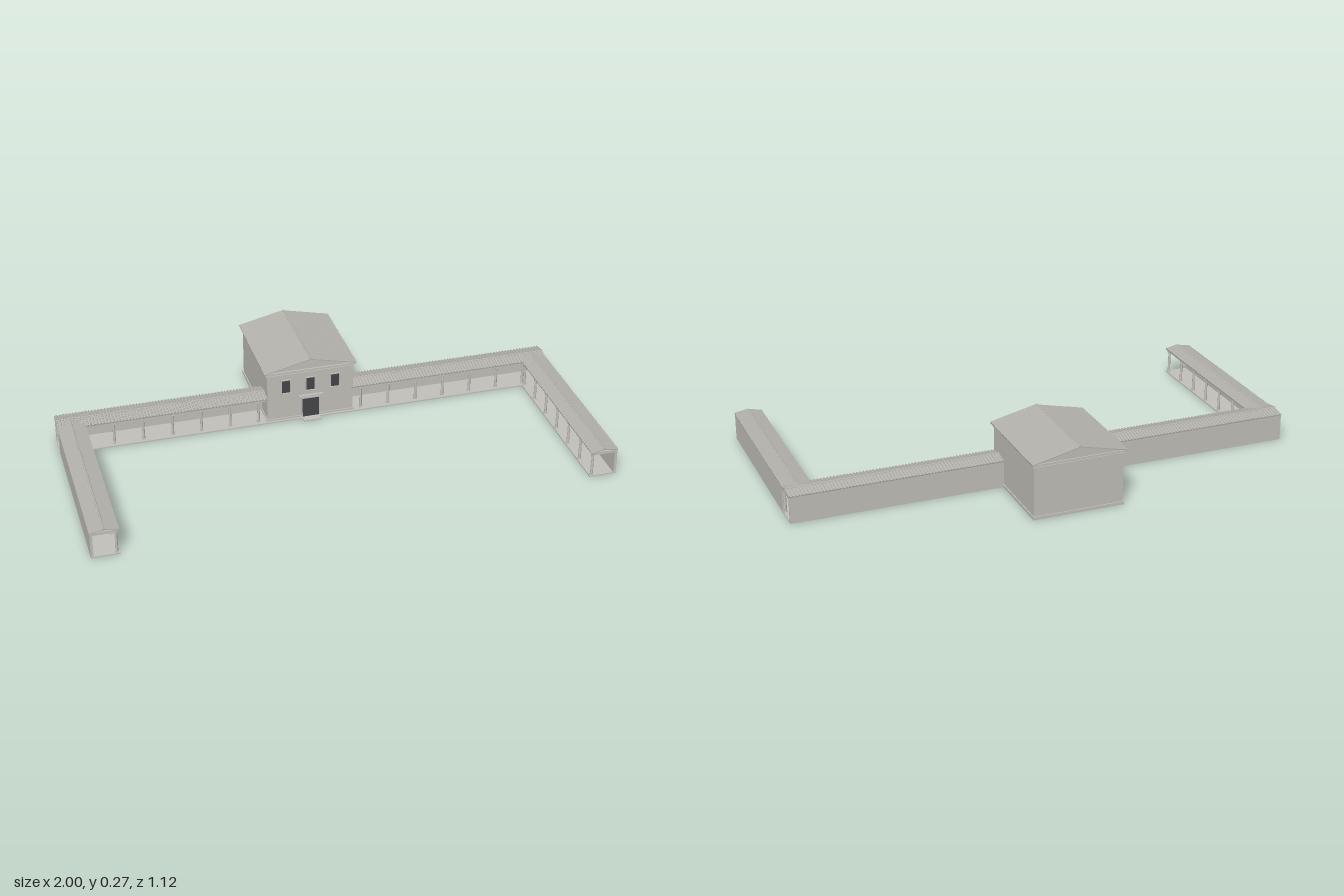
import * as THREE from 'three';
import { mergeGeometries } from 'three/addons/utils/BufferGeometryUtils.js';

const mat = (name, color) => {
  const m = new THREE.MeshStandardMaterial({ color });
  m.name = name;
  return m;
};

export function createModel() {
  const stone = mat('stone', 0xc4c2bb);
  const tile = mat('roofTile', 0xb6b5ae);
  const dark = mat('darkOpening', 0x46464b);
  const model = new THREE.Group();
  model.name = 'villa';

  const add = (parent, name, geo, material = stone) => {
    const m = new THREE.Mesh(geo, material);
    m.name = name;
    parent.add(m);
    return m;
  };
  // box given by its limits
  const block = (x0, x1, y0, y1, z0, z1) =>
    new THREE.BoxGeometry(Math.abs(x1 - x0), y1 - y0, z1 - z0)
      .translate((x0 + x1) / 2, (y0 + y1) / 2, (z0 + z1) / 2);

  // tiled gable roof, ridge along local x, centred on the ridge
  function gableRoof(name, length, half, eave, ridge, pitch) {
    const g = new THREE.Group();
    g.name = name;
    const slope = Math.hypot(half, ridge - eave);
    const angle = Math.atan2(ridge - eave, half);
    const count = Math.round(length / pitch);
    const step = length / count;
    // cross-section of one slope: flat slab with raised tile ribs
    const s = new THREE.Shape();
    s.moveTo(-length / 2, -0.004);
    s.lineTo(length / 2, -0.004);
    for (let i = count; i > 0; i--) {
      const x = -length / 2 + i * step;
      s.lineTo(x, 0);
      s.lineTo(x - step * 0.55, 0);
      s.lineTo(x - step * 0.65, 0.0035);
      s.lineTo(x - step * 0.9, 0.0035);
      s.lineTo(x - step, 0);
    }
    const sheet = new THREE.ExtrudeGeometry(s, { depth: slope, bevelEnabled: false }).rotateX(angle);
    add(g, 'frontSlope', sheet.clone().translate(0, ridge, 0), tile);
    add(g, 'backSlope', sheet.rotateY(Math.PI).translate(0, ridge, 0), tile);
    add(g, 'ridgeCap', new THREE.CylinderGeometry(0.004, 0.004, length, 8)
      .rotateZ(Math.PI / 2).translate(0, ridge, 0), tile);
    // solid gable filling below the tiles
    const inset = half * 0.95;
    const tri = new THREE.Shape();
    tri.moveTo(-inset, eave - 0.003);
    tri.lineTo(inset, eave - 0.003);
    tri.lineTo(0, ridge - 0.003);
    add(g, 'gable', new THREE.ExtrudeGeometry(tri, { depth: length - 0.012, bevelEnabled: false })
      .translate(0, 0, -(length - 0.012) / 2).rotateY(Math.PI / 2));
    return g;
  }

  // round column with square base and capital
  const column = (x, z) => mergeGeometries([
    new THREE.CylinderGeometry(0.0045, 0.0055, 0.088, 10).translate(x, 0.049, z),
    new THREE.BoxGeometry(0.013, 0.004, 0.013).translate(x, 0.007, z),
    new THREE.BoxGeometry(0.013, 0.004, 0.013).translate(x, 0.093, z),
  ]);

  // covered walk along local x: wall at -z, columns at +z
  function colonnade(name, x0, x1, c0, c1, columns, lip) {
    const g = new THREE.Group();
    g.name = name;
    add(g, 'floor', block(x0, x1, 0, 0.005, -0.0525, lip));
    add(g, 'wall', block(x0, x1, 0.004, 0.106, -0.0525, -0.0425));
    add(g, 'frontBeam', block(x0, x1, 0.095, 0.105, 0.037, 0.047));
    add(g, 'ceiling', block(x0, x1, 0.103, 0.106, -0.05, 0.047));
    const list = [];
    for (let i = 0; i < columns; i++) {
      list.push(column(c0 + (c1 - c0) * i / (columns - 1), 0.042));
    }
    add(g, 'columns', mergeGeometries(list));
    return g;
  }

  for (const s of [1, -1]) {
    const side = s > 0 ? 'left' : 'right';
    // cross wing beside the house
    const wing = colonnade(side + 'Wing', s * 0.17, s * 0.998, s * 0.21, s * 0.9, 7, 0.062);
    wing.position.z = -0.2;
    add(wing, 'endBeam', block(s * 0.988, s * 0.998, 0.095, 0.105, -0.05, 0.047));
    add(wing, 'endPosts', mergeGeometries([column(s * 0.99, 0.042), column(s * 0.99, -0.038)]));
    const wingRoof = gableRoof('wingRoof', 0.83, 0.0535, 0.107, 0.117, 0.0125);
    wingRoof.position.x = s * 0.585;
    wing.add(wingRoof);
    model.add(wing);

    // forward arm, open at its front end
    const arm = colonnade(side + 'Arm', -0.355, 0.355, -0.345, 0.345, 7, 0.0525);
    arm.position.set(s * 0.9465, 0, 0.204);
    arm.rotation.y = -s * Math.PI / 2;
    add(arm, 'endBeam', block(s * 0.345, s * 0.355, 0.095, 0.105, -0.05, 0.047));
    const armRoof = gableRoof('armRoof', 0.76, 0.0535, 0.107, 0.117, 0.0125);
    armRoof.position.x = -s * 0.024;
    arm.add(armRoof);
    model.add(arm);
  }

  // main house
  const house = new THREE.Group();
  house.name = 'house';
  model.add(house);
  add(house, 'walls', block(-0.175, 0.175, 0, 0.215, -0.548, -0.15));
  add(house, 'plinth', block(-0.179, 0.179, 0, 0.012, -0.552, -0.146));
  add(house, 'lowerCornice', block(-0.178, 0.178, 0.203, 0.208, -0.551, -0.147));
  add(house, 'upperCornice', block(-0.183, 0.183, 0.214, 0.221, -0.557, -0.143));
  const roof = gableRoof('houseRoof', 0.415, 0.187, 0.222, 0.265, 0.0148);
  roof.rotation.y = Math.PI / 2;
  roof.position.z = -0.351;
  house.add(roof);

  // raised surround around an opening on the front wall
  const frame = (x, y0, y1, half, t) => mergeGeometries([
    block(x - half - t, x - half, y0, y1, -0.151, -0.145),
    block(x + half, x + half + t, y0, y1, -0.151, -0.145),
    block(x - half - t, x + half + t, y1, y1 + t, -0.151, -0.145),
  ]);
  for (const x of [-0.1, 0, 0.1]) {
    add(house, 'window', block(x - 0.017, x + 0.017, 0.125, 0.18, -0.151, -0.148), dark);
    add(house, 'windowFrame', frame(x, 0.125, 0.18, 0.017, 0.003));
    add(house, 'windowSill', block(x - 0.022, x + 0.022, 0.121, 0.125, -0.151, -0.143));
  }
  add(house, 'door', block(-0.033, 0.033, 0.006, 0.087, -0.151, -0.1445), dark);
  add(house, 'doorFrame', frame(0, 0.006, 0.087, 0.033, 0.005));
  add(house, 'doorLintel', block(-0.05, 0.05, 0.098, 0.104, -0.151, -0.139));
  add(house, 'landing', block(-0.18, 0.18, 0, 0.005, -0.15, -0.138));
  add(house, 'doorStep', block(-0.035, 0.035, 0, 0.006, -0.15, -0.114));

  return model;
}
